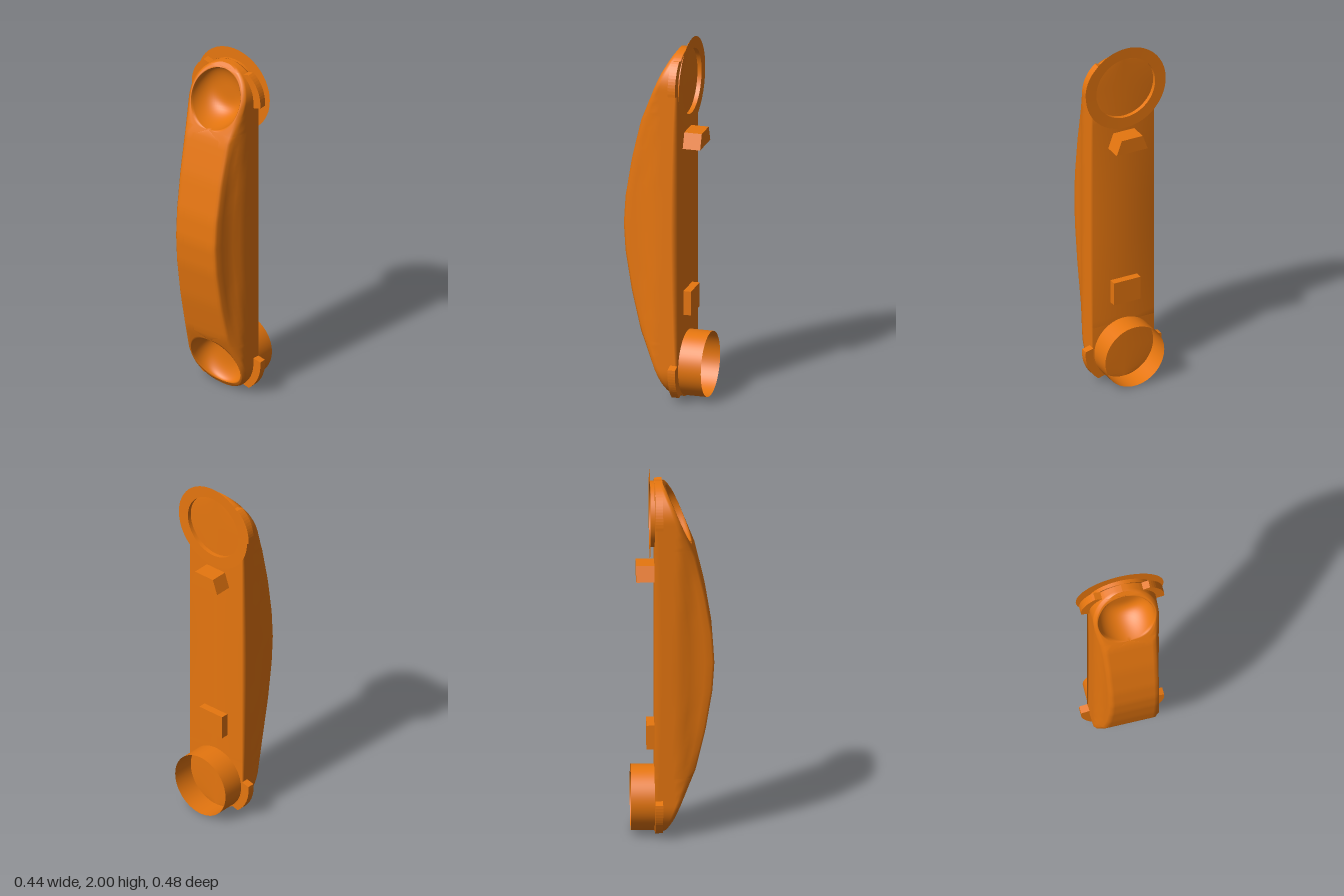
import * as THREE from 'three';

const MID = 0.973, END = 0.182, W = 0.183, FACE = 0.095, DISH = 0.156, FLOOR = 0.078;
const mirrorY = (y) => 2 * MID - y;

// piecewise-linear lookup
function lookup(table, v) {
  for (let i = 1; i < table.length; i++) {
    const [a, fa] = table[i - 1], [b, fb] = table[i];
    if (v <= b) return fa + (fb - fa) * Math.max(0, (v - a) / (b - a));
  }
  return table[table.length - 1][1];
}
// arched back: x of the back surface by height (lower half)
const BACK = [[0, 0.052], [0.03, 0.032], [0.1, -0.005], [0.2, -0.048], [0.38, -0.122],
  [0.6, -0.175], [0.82, -0.212], [0.973, -0.222]];
// narrowing of the section towards the back
const NARROW = [[-0.222, 0.73], [-0.11, 0.81], [-0.04, 0.965], [0.095, 1]];

// one closed cross-section, counted from the middle of the flat face
function section(y) {
  const low = Math.min(y, mirrorY(y)), d = low - END;
  const w = d < 0 ? Math.sqrt(Math.max(0, W * W - d * d)) : W;
  const b = lookup(BACK, low), half = [];
  half.push([FACE, 0], [FACE, w]);
  for (let k = 1; k <= 8; k++) {
    const x = FACE + (b + 0.012 - FACE) * k / 8;
    half.push([x, w * lookup(NARROW, x)]);
  }
  const edge = w * lookup(NARROW, b) * 0.93;
  const inDish = Math.abs(d) <= DISH;
  const rim = inDish ? Math.min(edge, Math.sqrt(Math.max(0, DISH * DISH - d * d))) : edge * 0.6;
  for (let k = 0; k <= 3; k++) half.push([b, edge + (rim - edge) * k / 3]);
  for (let k = 1; k <= 16; k++) {
    const z = rim * Math.cos(k / 16 * Math.PI / 2);
    const r = Math.hypot(z, d) / DISH;
    const bowl = inDish ? Math.sqrt(Math.max(0, 1 - r ** 4)) : 0;
    half.push([b + (FLOOR - b) * bowl, z]);
  }
  const other = half.slice(0, -1).reverse().map(([x, z]) => [x, -z]);
  return half.concat(other);
}

function bodyGeometry() {
  const lower = [-W, -0.181, -0.177, -0.171, -0.164].map((d) => END + d);
  for (let i = 0; i <= 32; i++) lower.push(END - DISH * Math.cos(i / 32 * Math.PI));
  for (let i = 1; i <= 16; i++) lower.push(END + DISH + (MID - END - DISH) * i / 16);
  const rows = lower.concat(lower.slice(0, -1).reverse().map(mirrorY));
  const pos = [], index = [];
  let n = 0;
  rows.forEach((y, i) => {
    const s = section(y);
    n = s.length - 1; // the last point closes the loop
    for (let j = 0; j < n; j++) pos.push(s[j][0], y, s[j][1]);
    if (i === 0) return;
    for (let j = 0; j < n; j++) {
      const k = (j + 1) % n, lo = (i - 1) * n, up = i * n;
      index.push(lo + j, up + j, lo + k, lo + k, up + j, up + k);
    }
  });
  const g = new THREE.BufferGeometry();
  g.setAttribute('position', new THREE.Float32BufferAttribute(pos, 3));
  g.setIndex(index);
  g.computeVertexNormals();
  return g;
}

// extrude a side-on outline along x, from x0 to x1
function extrudeX(shape, x0, x1) {
  const g = new THREE.ExtrudeGeometry(shape, { depth: x1 - x0, bevelEnabled: false, curveSegments: 16 });
  return g.rotateY(Math.PI / 2).translate(x0, 0, 0);
}

export function createModel() {
  const group = new THREE.Group();
  const orange = new THREE.MeshStandardMaterial({ color: 0xe6760f });
  orange.name = 'orange';
  orange.side = THREE.DoubleSide;
  const add = (name, geometry, y = 0) => {
    const mesh = new THREE.Mesh(geometry, orange);
    mesh.name = name;
    mesh.position.y = y;
    group.add(mesh);
    return mesh;
  };

  add('body', bodyGeometry());

  // open collar at the lower end
  add('lowerCollar', new THREE.CylinderGeometry(0.177, 0.177, 0.127, 64, 1, true)
    .rotateZ(-Math.PI / 2).translate(0.1575, 0, 0), END);

  // short collar with a thin flange at the upper end
  const flange = [[0.177, 0.094], [0.177, 0.118], [0.177, 0.1181], [0.24, 0.119]]
    .map(([r, x]) => new THREE.Vector2(r, x));
  add('upperFlange', new THREE.LatheGeometry(flange, 64).rotateZ(-Math.PI / 2), mirrorY(END));

  // wedge peg and block peg on the flat face
  const wedge = new THREE.Shape([[-0.093, 1.41], [0.093, 1.41], [0.063, 1.493], [-0.063, 1.493]]
    .map(([x, y]) => new THREE.Vector2(x, y)));
  add('upperPeg', extrudeX(wedge, 0.08, 0.192));
  add('lowerPeg', new THREE.BoxGeometry(0.06, 0.133, 0.16).translate(0.107, 0, 0), 0.539);

  // curved clips hugging both rounded ends
  for (const end of [-1, 1]) {
    for (const side of [-1, 1]) {
      const at = (r, a) => new THREE.Vector2(side * r * Math.cos(a), end * r * Math.sin(a));
      const pts = [];
      for (let i = 0; i <= 12; i++) pts.push(at(0.228 - 0.012 * (i / 12) ** 2, -0.1 + 0.9 * i / 12));
      for (let i = 12; i >= 0; i--) pts.push(at(0.172, -0.22 + 1.17 * i / 12));
      add((end < 0 ? 'lower' : 'upper') + (side < 0 ? 'Front' : 'Rear') + 'Clip',
        extrudeX(new THREE.Shape(pts), 0.052, 0.093), end < 0 ? END : mirrorY(END));
    }
  }
  return group;
}
